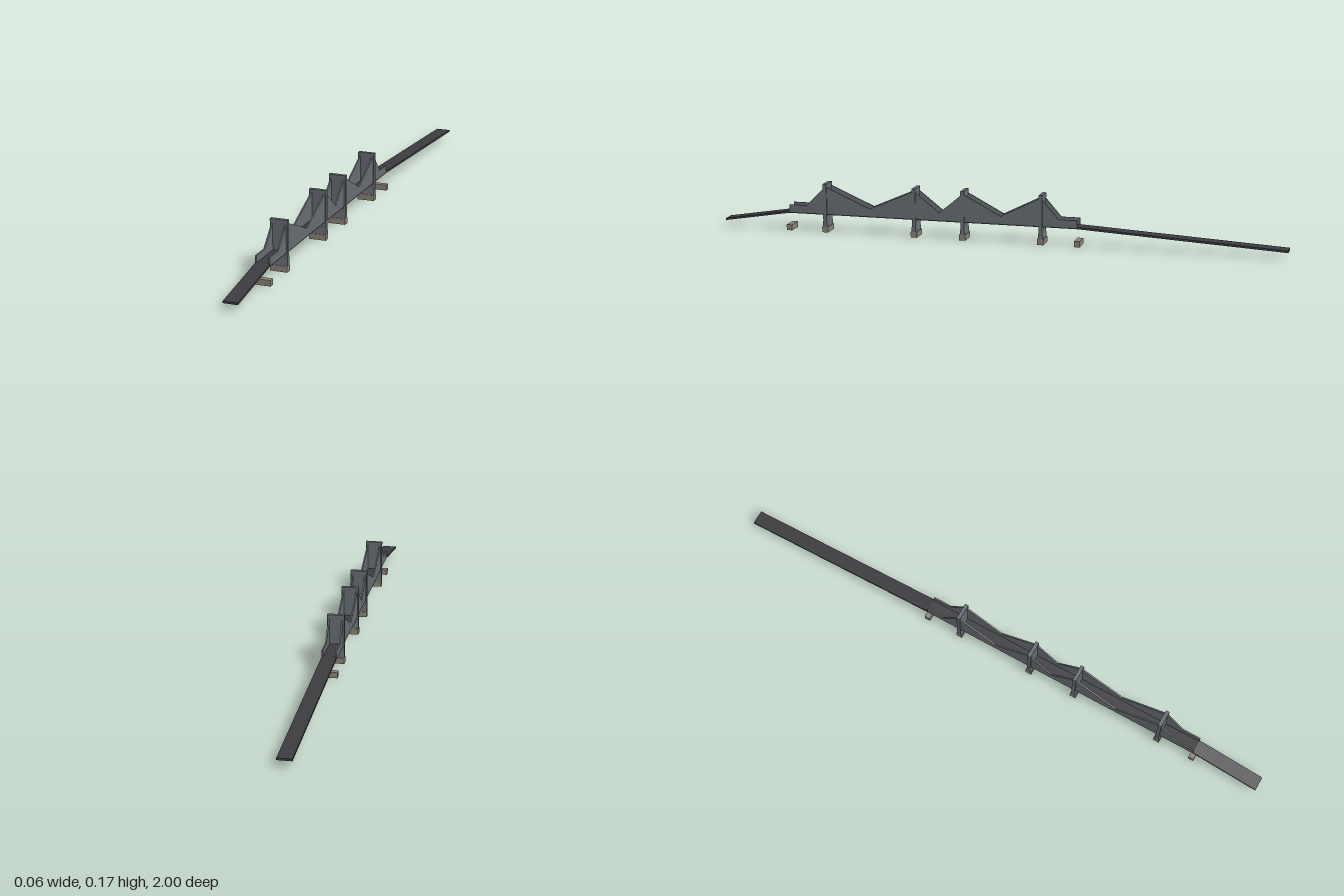
import * as THREE from 'three';

const mat = (color) => new THREE.MeshStandardMaterial({ color, flatShading: true });

// Extrudes a side profile of [z, y] points across x, centred on x = cx
function sideProfile(points, width, cx = 0) {
  const shape = new THREE.Shape(points.map(([z, y]) => new THREE.Vector2(z, y)));
  const geo = new THREE.ExtrudeGeometry(shape, { depth: width, bevelEnabled: false });
  geo.translate(0, 0, -width / 2);
  geo.rotateY(-Math.PI / 2);
  geo.translate(cx, 0, 0);
  return geo;
}

export function createModel() {
  const model = new THREE.Group();
  const asphalt = mat(0x3c3c40);
  const steel = mat(0x666c71);
  const stone = mat(0x8a8376);

  const add = (name, geo, material, z = 0) => {
    const mesh = new THREE.Mesh(geo, material);
    mesh.name = name;
    mesh.position.z = z;
    model.add(mesh);
  };

  const front = 0.757, back = -0.283;
  const towers = [0.623, 0.297, 0.122, -0.155];

  // Road: level span with a ramp falling away at each end
  const roadTop = [[1, 0.029], [front, 0.069], [back, 0.069], [-1, 0.029]];
  const roadBottom = roadTop.map(([z, y]) => [z, y - 0.007]).reverse();
  add('roadDeck', sideProfile([...roadTop, ...roadBottom], 0.05), asphalt);

  // Side walls that rise to a peak at every tower
  const low = 0.092, peak = 0.163;
  const valleys = [0.693, 0.458, 0.206, -0.013, -0.217];
  const crest = [[front, low]];
  valleys.forEach((z, i) => {
    crest.push([z, low]);
    if (i < towers.length) crest.push([towers[i], peak]);
  });
  crest.push([back, low]);
  const wall = [[front, 0.066], ...crest, [back, 0.066]];
  for (const side of [1, -1]) {
    add(side > 0 ? 'leftSideWall' : 'rightSideWall',
      sideProfile(wall, 0.005, side * 0.0232), steel);
  }

  // Towers: slab with a flared foot, on a stone footing
  const half = [[0.009, 0.02], [0.0065, 0.042], [0.0065, 0.173]];
  const slab = [...half, ...half.map(([z, y]) => [-z, y]).reverse()];
  const footing = new THREE.BoxGeometry(0.06, 0.02, 0.022).translate(0, 0.01, 0);
  for (const z of towers) {
    add('tower', sideProfile(slab, 0.06), steel, z);
    add('towerFooting', footing, stone, z);
  }

  // Low abutment blocks under the ends of the level span
  const block = new THREE.BoxGeometry(0.06, 0.02, 0.02).translate(0, 0.01, 0);
  for (const z of [front, back]) add('abutment', block, stone, z);

  return model;
}
